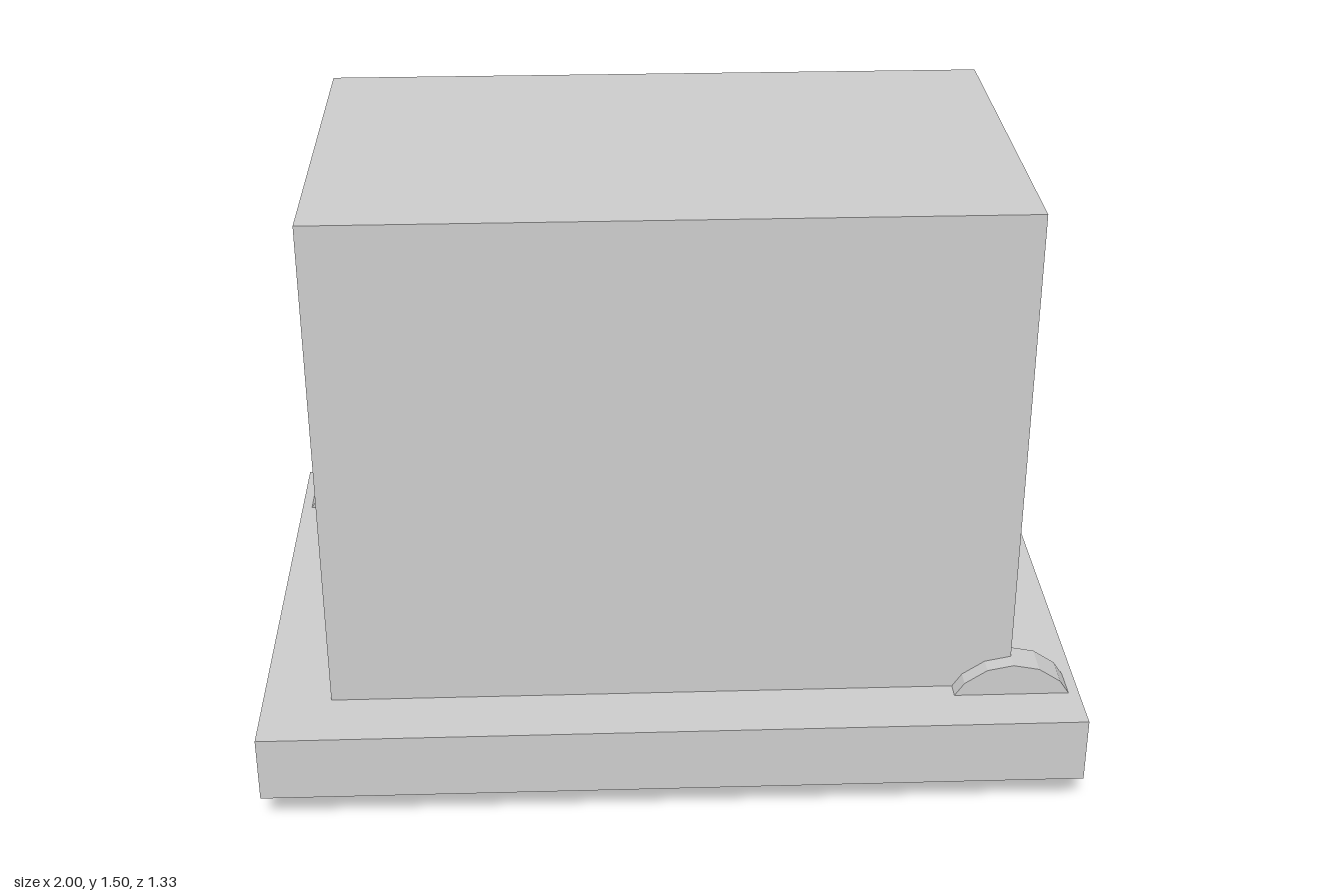
import * as THREE from 'three';

export function createModel() {
  const model = new THREE.Group();
  model.name = 'wheeledCabinet';
  const material = new THREE.MeshStandardMaterial({ color: 0xcccccc, flatShading: true });

  const add = (name, geometry, x, y, z) => {
    const mesh = new THREE.Mesh(geometry, material);
    mesh.name = name;
    mesh.position.set(x, y, z);
    model.add(mesh);
  };

  // Base slab and the tall body standing on it
  add('base', new THREE.BoxGeometry(2, 1 / 6, 4 / 3), 0, 1 / 6, 0);
  add('body', new THREE.BoxGeometry(5 / 3, 1.25, 1), 0, 0.875, 0);

  // Two wheels at diagonally opposite corners, sunk through the base
  const wheel = new THREE.CylinderGeometry(1 / 6, 1 / 6, 1 / 12, 16).rotateX(Math.PI / 2);
  add('frontLeftWheel', wheel, 5 / 6, 1 / 6, 0.5);
  add('backRightWheel', wheel, -5 / 6, 1 / 6, -0.5);

  return model;
}
